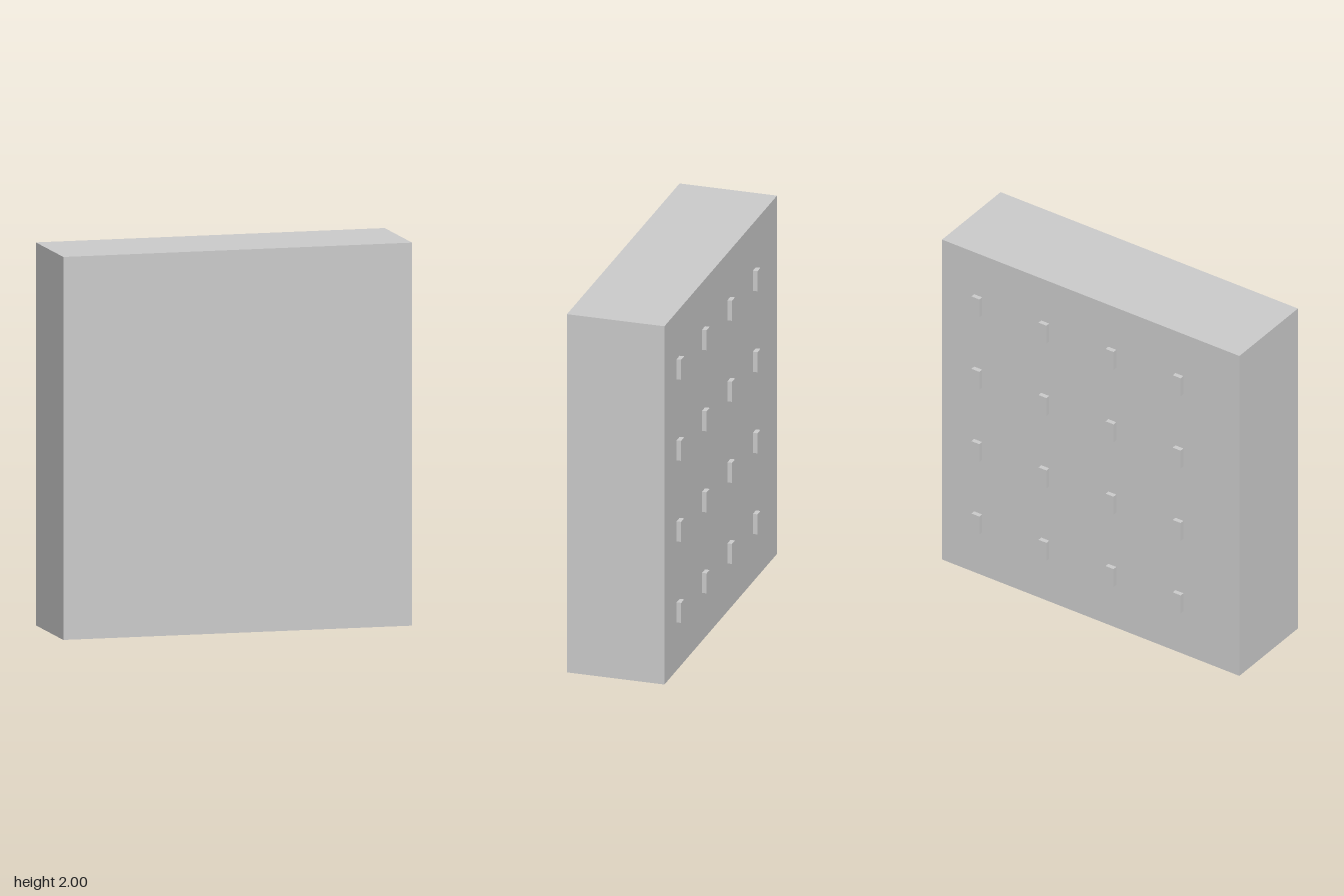
import * as THREE from 'three';

export function createModel() {
  const group = new THREE.Group();
  const material = new THREE.MeshStandardMaterial({ color: 0xcccccc, flatShading: true });

  const addBox = (name, size, position) => {
    const mesh = new THREE.Mesh(new THREE.BoxGeometry(...size), material);
    mesh.name = name;
    mesh.position.set(...position);
    group.add(mesh);
  };

  // Solid cabinet body
  addBox('cabinetBody', [1.87, 2, 0.53], [0, 1, 0.0125]);

  // Four by four grid of small upright handles on the back face
  for (let row = 0; row < 4; row++) {
    for (let col = 0; col < 4; col++) {
      addBox(`handle_${row + 1}_${col + 1}`, [0.05, 0.112, 0.025],
        [-0.558 + col * 0.422, 0.324 + row * 0.4525, -0.265]);
    }
  }
  return group;
}
